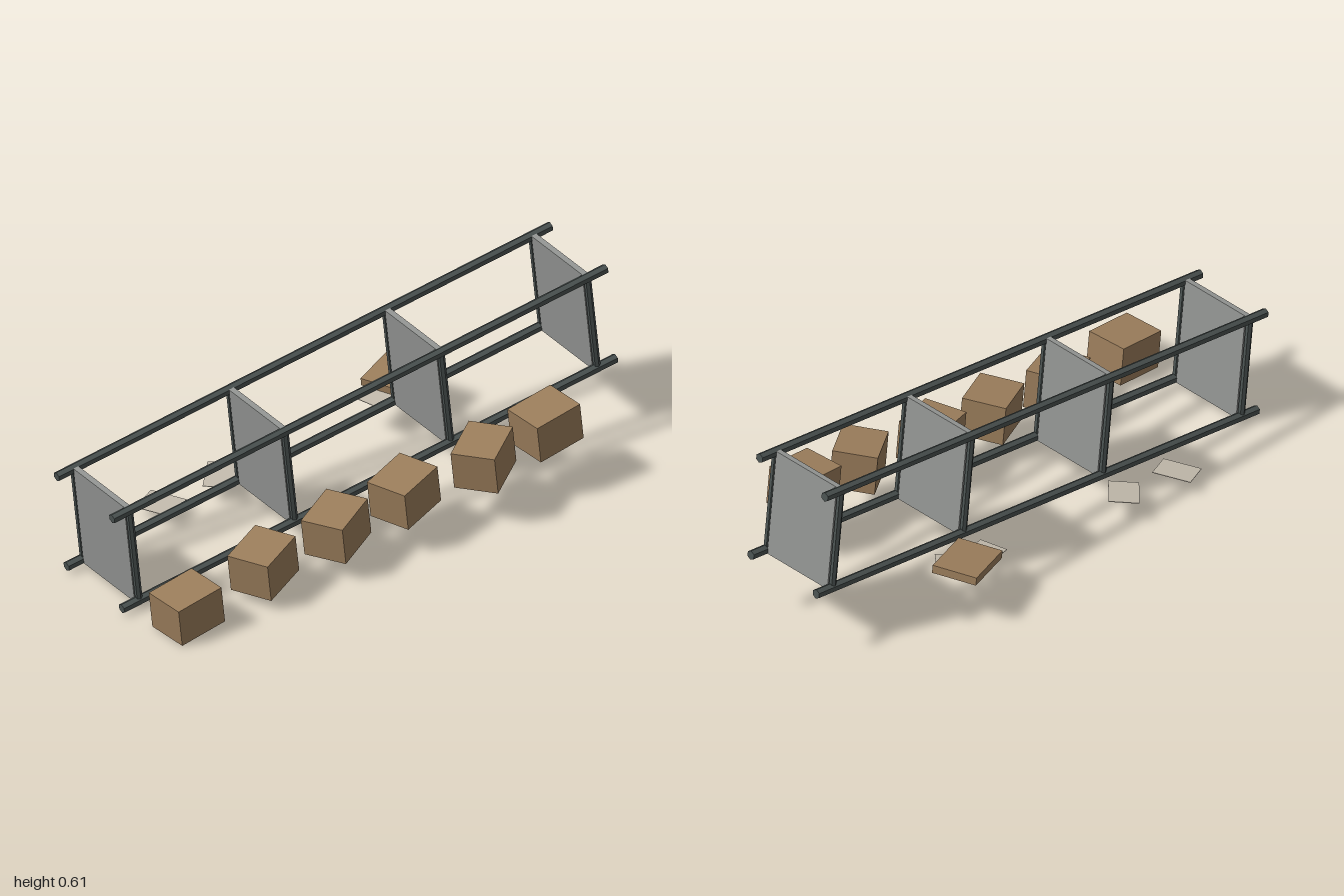
import * as THREE from 'three';

const material = (name, color, extra = {}) => {
  const m = new THREE.MeshStandardMaterial({ color, ...extra });
  m.name = name;
  return m;
};

export function createModel() {
  const darkMetal = material('dark metal', 0x4b5352, { flatShading: true });
  const greyPanel = material('grey panel', 0x939593);
  const cardboard = material('cardboard', 0x9c7e5c);
  const paper = material('paper', 0xc2baac);

  const model = new THREE.Group();
  model.name = 'fallenShelf';

  // Everything rests on a slope that rises towards +x
  const slope = new THREE.Group();
  slope.name = 'slopedShelfAndBoxes';
  slope.position.y = 0.31;
  slope.rotation.z = 0.107;
  model.add(slope);

  const add = (name, geometry, mat, x, y, z, yaw = 0) => {
    const mesh = new THREE.Mesh(geometry, mat);
    mesh.name = name;
    mesh.position.set(x, y, z);
    mesh.rotation.y = THREE.MathUtils.degToRad(yaw);
    slope.add(mesh);
  };

  // Four long hexagonal rails
  const sideZ = [0.124, -0.18];
  const rail = new THREE.CylinderGeometry(0.0165, 0.0165, 1.968, 6);
  rail.rotateY(Math.PI / 6).rotateZ(Math.PI / 2);
  for (const z of sideZ) {
    for (const y of [-0.181, 0.181]) add('rail', rail, darkMetal, 0, y, z);
  }

  // Upright shelf panels, each edged by a pair of posts
  const panel = new THREE.BoxGeometry(0.02, 0.381, 0.28);
  const post = new THREE.CylinderGeometry(0.012, 0.012, 0.36, 6);
  for (const x of [-0.915, -0.295, 0.327, 0.911]) {
    add('shelfPanel', panel, greyPanel, x, 0, -0.028);
    for (const z of sideZ) add('post', post, darkMetal, x, 0, z);
  }

  // Row of boxes along the front: x, z, yaw in degrees
  const box = new THREE.BoxGeometry(0.18, 0.136, 0.15);
  const boxes = [
    [-0.852, 0.306, 4], [-0.531, 0.283, 24], [-0.242, 0.285, 27],
    [0.031, 0.282, 18], [0.328, 0.309, 35], [0.582, 0.3, 4],
  ];
  for (const [x, z, yaw] of boxes) add('box', box, cardboard, x, -0.14, z, yaw);

  // Flattened box behind the shelf
  add('flattenedBox', new THREE.BoxGeometry(0.205, 0.028, 0.155), cardboard, 0.432, -0.191, -0.31, 22);

  // Loose sheets behind the shelf: x, z, yaw in degrees
  const sheet = new THREE.BoxGeometry(0.1, 0.002, 0.132);
  const sheets = [[-0.54, -0.275, 25], [-0.306, -0.272, -43], [0.33, -0.28, -75], [0.446, -0.275, 50]];
  for (const [x, z, yaw] of sheets) add('paperSheet', sheet, paper, x, -0.208, z, yaw);

  return model;
}
